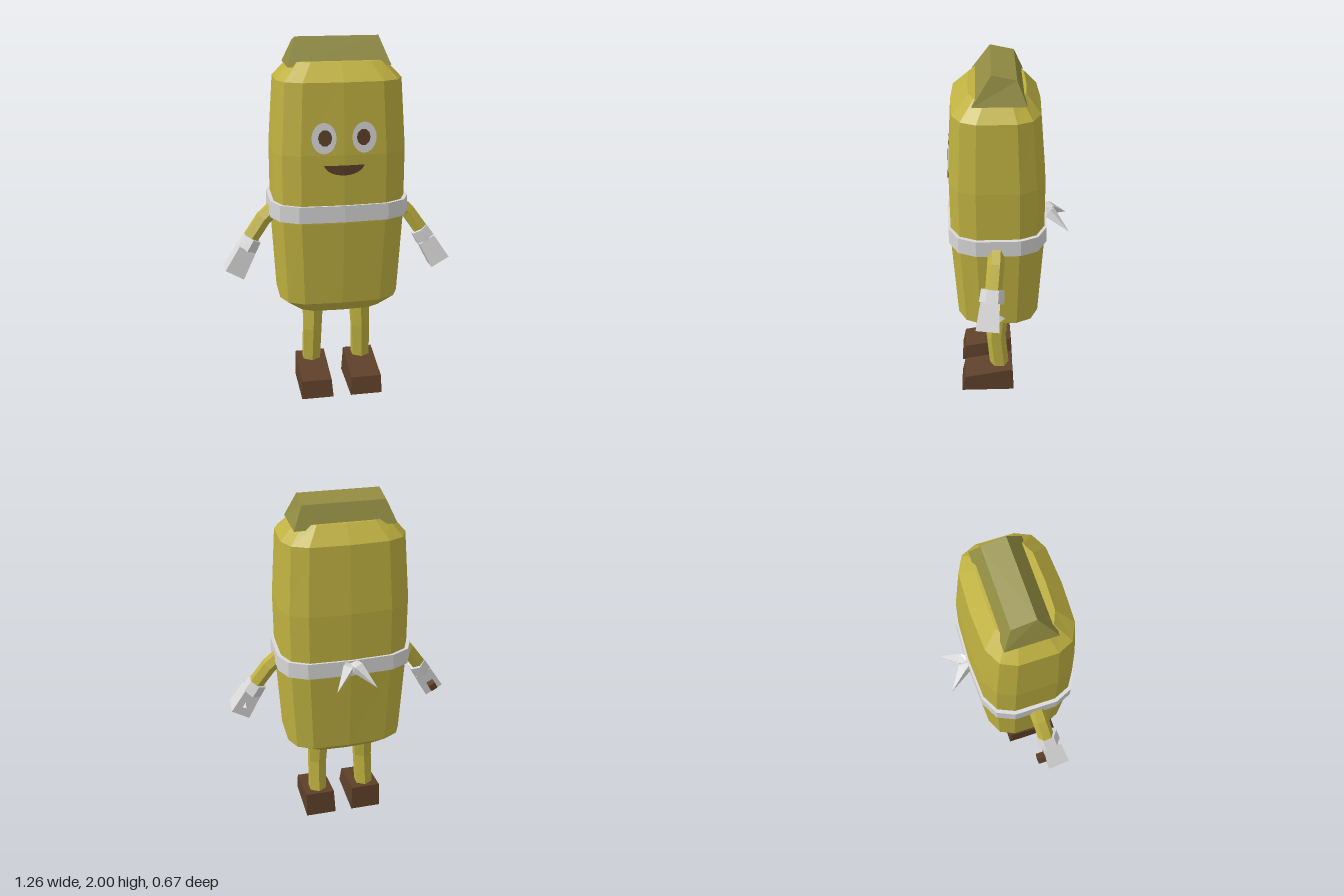
import * as THREE from 'three';

const mat = (name, color) => Object.assign(new THREE.MeshStandardMaterial({ color }), { name });

// Unit cross-sections, counterclockwise about the loft direction
const quarter = [[0, 1], [0.63, 0.957], [0.89, 0.77], [1, 0.43]];
const half = [...quarter, ...quarter.slice(1).reverse().map(([u, v]) => [u, -v]), [0, -1]];
const BODY = [...half, ...half.slice(1, -1).reverse().map(([u, v]) => [-u, v])];
const SQUARE = [[-1, 1], [1, 1], [1, -1], [-1, -1]];
const ngon = (n) => Array.from({ length: n }, (_, i) => {
  const a = (i / n) * Math.PI * 2;
  return [Math.sin(a), Math.cos(a)];
});
const HEX = ngon(6), DIAMOND = ngon(4);

// Faceted closed loft; each section is [x, y, z, halfWidth, halfDepth, tilt]
function loft(outline, sections, axis) {
  const centres = sections.map((s) => new THREE.Vector3(s[0], s[1], s[2]));
  const last = sections.length - 1;
  const rings = sections.map(([, , , w, h, tilt = 0], i) => {
    const d = axis ? axis.clone()
      : centres[Math.min(i + 1, last)].clone().sub(centres[Math.max(i - 1, 0)]).normalize();
    const side = d.clone().cross(new THREE.Vector3(0, 0, 1)).normalize();
    const front = side.clone().cross(d);
    return outline.map(([u, v]) => {
      const p = centres[i].clone().addScaledVector(side, u * w).addScaledVector(front, v * h);
      p.y += tilt * v * h;
      return p;
    });
  });
  const tris = [];
  const n = outline.length;
  for (let j = 0; j < n; j++) {
    const k = (j + 1) % n;
    for (let i = 0; i < last; i++) {
      const [a, b, c, d] = [rings[i][j], rings[i][k], rings[i + 1][k], rings[i + 1][j]];
      tris.push(a, b, c, a, c, d);
    }
    if (j > 0 && k > 0) {
      tris.push(rings[0][0], rings[0][k], rings[0][j]);
      tris.push(rings[last][0], rings[last][j], rings[last][k]);
    }
  }
  const g = new THREE.BufferGeometry().setFromPoints(tris);
  g.computeVertexNormals();
  return g;
}

// Lays a flat shape on the slightly curved front of the body
function onFace(shape, lift, segments = 12) {
  const g = new THREE.ShapeGeometry(shape, segments);
  const p = g.attributes.position;
  for (let i = 0; i < p.count; i++) {
    const x = p.getX(i), y = p.getY(i);
    p.setZ(i, 0.32 - 0.068 * Math.max(0, y - 1.42) - 0.05 * Math.abs(x) + lift);
  }
  g.computeVertexNormals();
  return g;
}
const ellipse = (x, y, rx, ry) => new THREE.Shape().absellipse(x, y, rx, ry, 0, Math.PI * 2);

export function createModel() {
  const model = new THREE.Group();
  model.name = 'bottleFigure';
  const yellow = mat('mustard', 0xbfb141);
  const olive = mat('olive', 0x928c42);
  const silver = mat('paleGrey', 0xd8d8d8);
  const brown = mat('brown', 0x5e4029);
  brown.side = THREE.DoubleSide;
  const up = new THREE.Vector3(0, 1, 0);
  const add = (name, geometry, material) => {
    const m = new THREE.Mesh(geometry, material);
    m.name = name;
    model.add(m);
    return m;
  };

  // Body, cap and belt
  add('body', loft(BODY, [
    [0, 0.52, 0.07, 0.24, 0.17],
    [0, 0.585, 0.06, 0.33, 0.232],
    [0, 1.05, 0.06, 0.355, 0.26],
    [0, 1.42, 0.06, 0.355, 0.26],
    [0, 1.79, 0.0625, 0.33, 0.2325],
    [0, 1.88, 0.055, 0.245, 0.15],
  ], up), yellow);
  add('cap', loft(SQUARE, [
    [0, 1.855, 0.047, 0.27, 0.135],
    [0, 1.985, 0.0225, 0.22, 0.0625, 0.22],
  ], up), olive);
  add('belt', loft(BODY, [
    [0, 1.062, 0.06, 0.375, 0.272],
    [0, 1.152, 0.06, 0.375, 0.272],
  ], up), silver);

  for (const [s, label] of [[1, 'left'], [-1, 'right']]) {
    // Face
    add(label + 'Eye', onFace(ellipse(s * 0.105, 1.51, 0.064, 0.08), 0.003), silver);
    add(label + 'Pupil', onFace(ellipse(s * 0.1, 1.512, 0.036, 0.043), 0.006, 5), brown);
    const mouth = new THREE.Shape();
    mouth.moveTo(0, 1.368);
    mouth.lineTo(s * 0.106, 1.368);
    mouth.quadraticCurveTo(s * 0.085, 1.317, 0, 1.315);
    add(label + 'MouthHalf', onFace(mouth, 0.004), brown);

    // Legs and shoes
    add(label + 'Leg', loft(HEX, [
      [s * 0.145, 0.15, 0.055, 0.056, 0.056],
      [s * 0.14, 0.35, 0.072, 0.058, 0.056],
      [s * 0.132, 0.56, 0.058, 0.064, 0.066],
    ], up), yellow);
    add(label + 'Shoe', loft(SQUARE, [
      [s * 0.14, 0, 0.125, 0.09, 0.155],
      [s * 0.143, 0.125, 0.12, 0.085, 0.14, -0.18],
    ], up), brown);

    // Arms, cuffs and hands
    add(label + 'Arm', loft(HEX, [
      [s * 0.31, 1.11, 0.066, 0.045, 0.045],
      [s * 0.405, 1.025, 0.075, 0.045, 0.045],
      [s * 0.5, 0.89, 0.092, 0.045, 0.045],
    ]), yellow);
    add(label + 'Cuff', loft(HEX, [
      [s * 0.47, 0.92, 0.092, 0.055, 0.062],
      [s * 0.507, 0.86, 0.1, 0.06, 0.066],
    ]), silver);
    add(label + 'Hand', loft(SQUARE, [
      [s * 0.505, 0.865, 0.107, 0.048, 0.05],
      [s * 0.58, 0.737, 0.124, 0.056, 0.061],
    ]), silver);

    // Pointed tails of the belt knot at the back
    add(label + 'KnotTail', loft(DIAMOND, [
      [s * 0.008, 1.125, -0.19, 0.03, 0.03],
      [s * 0.028, 1.118, -0.235, 0.036, 0.036],
      [s * 0.108, 1.042, -0.333, 0.001, 0.001],
    ]), silver);
  }

  // Small pieces on the backs of the hands
  const spike = add('leftHandPoint', new THREE.ConeGeometry(0.032, 0.045, 3).toNonIndexed(), silver);
  spike.geometry.computeVertexNormals();
  spike.rotation.x = -Math.PI / 2;
  spike.position.set(0.55, 0.79, 0.052);
  const stud = add('rightHandStud', new THREE.BoxGeometry(0.042, 0.042, 0.06), brown);
  stud.rotation.z = -0.5;
  stud.position.set(-0.56, 0.78, 0.046);

  return model;
}
